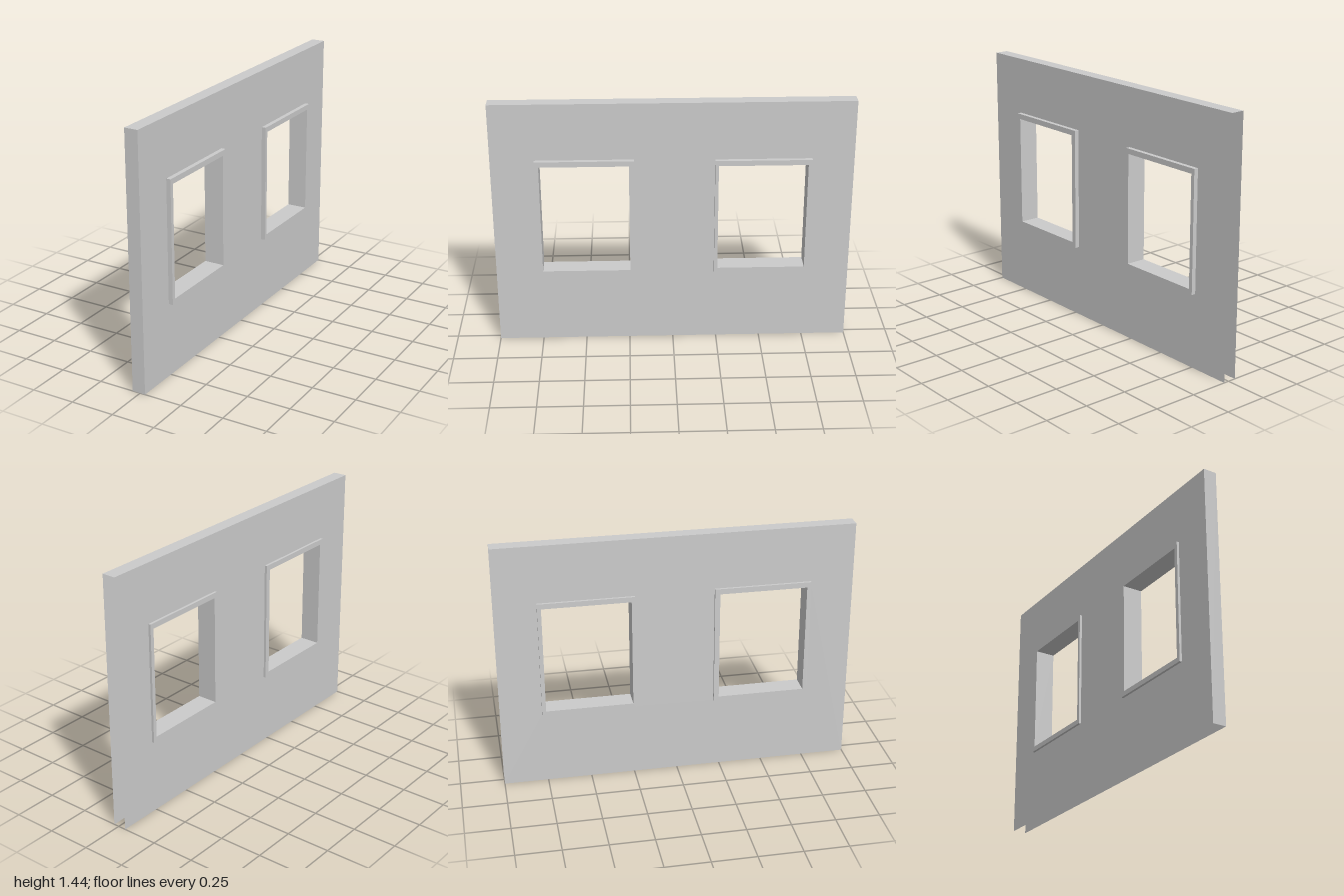
import * as THREE from 'three';

const material = new THREE.MeshStandardMaterial({ color: 0xcccccc, side: THREE.DoubleSide, flatShading: true });
const H = 1.443, X0 = -0.046, X1 = 0.031; // wall height and its two faces
const FRAME0 = -0.06, FRAME1 = 0.056;     // frame depth through the wall

// Window frames: outer and inner rectangles as [z0, z1, y0, y1]
const windows = [
  { name: 'frontWindowFrame', outer: [0.212, 0.758, 0.42, 1.118], inner: [0.241, 0.735, 0.448, 1.087] },
  { name: 'backWindowFrame', outer: [-0.767, -0.233, 0.426, 1.112], inner: [-0.745, -0.252, 0.454, 1.082] },
];

// Rectangle outline in (z, y); flip mirrors z
function trace(path, [z0, z1, y0, y1], flip = 1) {
  path.moveTo(flip * z0, y0);
  path.lineTo(flip * z1, y0);
  path.lineTo(flip * z1, y1);
  path.lineTo(flip * z0, y1);
  path.closePath();
  return path;
}

export function createModel() {
  const group = new THREE.Group();
  const add = (name, geometry, x = 0, y = 0, z = 0) => {
    const mesh = new THREE.Mesh(geometry, material);
    mesh.name = name;
    mesh.position.set(x, y, z);
    group.add(mesh);
  };

  // Two wall faces with window holes
  for (const side of [1, -1]) {
    const face = trace(new THREE.Shape(), [-1, 1, 0, H], -side);
    for (const w of windows) face.holes.push(trace(new THREE.Path(), w.outer, -side));
    add(side > 0 ? 'leftWallFace' : 'rightWallFace',
      new THREE.ShapeGeometry(face).rotateY(side * Math.PI / 2), side > 0 ? X1 : X0);
  }

  // Closed top and front end; the bottom and back end stay open
  const mid = (X0 + X1) / 2, thick = X1 - X0;
  add('wallTop', new THREE.PlaneGeometry(thick, 2).rotateX(-Math.PI / 2), mid, H, 0);
  add('wallFrontEnd', new THREE.PlaneGeometry(thick, H), mid, H / 2, 1);

  // Frames that line the openings and stand proud on both sides
  for (const w of windows) {
    const ring = trace(new THREE.Shape(), w.outer);
    ring.holes.push(trace(new THREE.Path(), w.inner));
    const geometry = new THREE.ExtrudeGeometry(ring, { depth: FRAME1 - FRAME0, bevelEnabled: false });
    add(w.name, geometry.rotateY(-Math.PI / 2), FRAME1);
  }
  return group;
}
